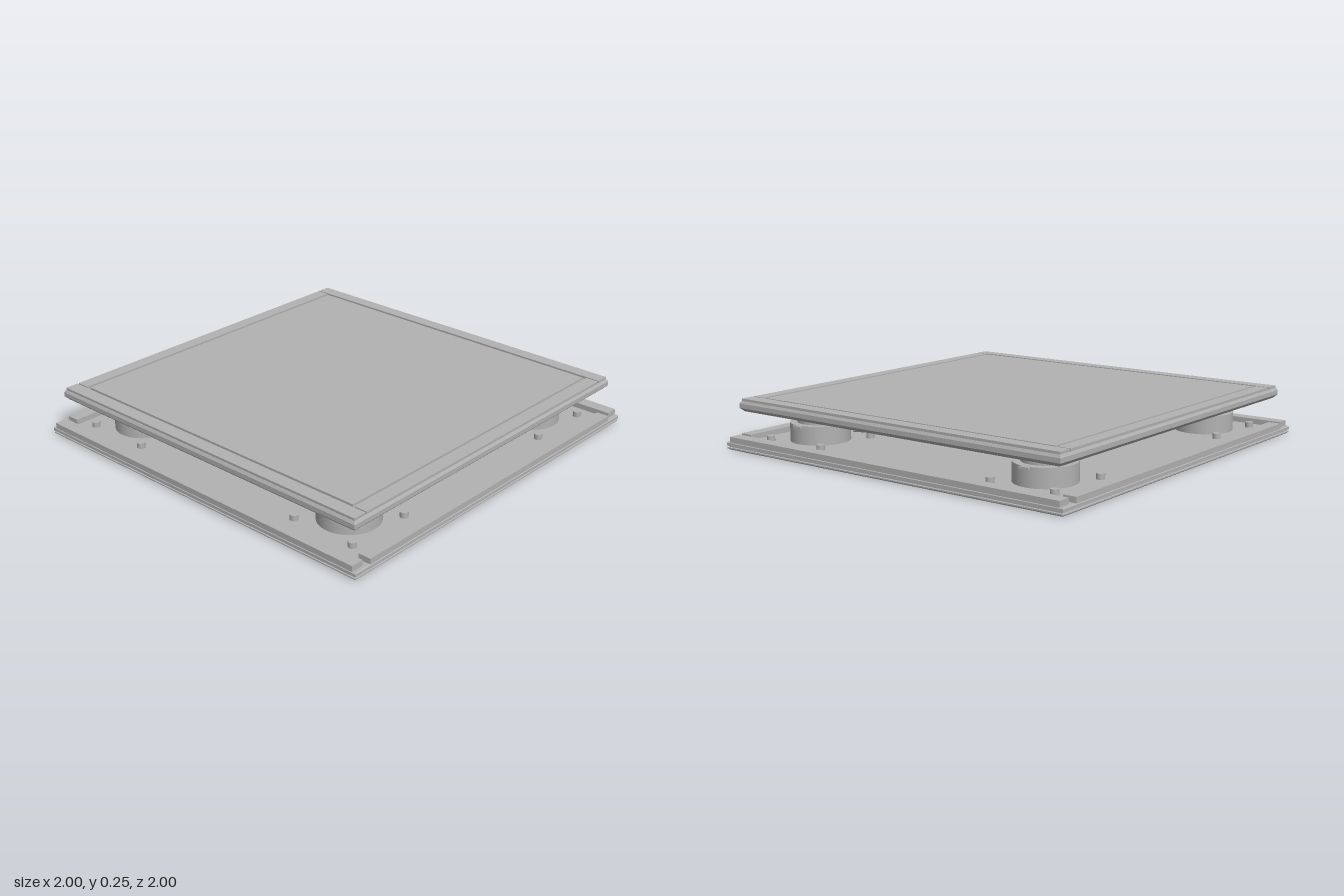
import * as THREE from 'three';

export function createModel() {
  const model = new THREE.Group();
  const grey = new THREE.MeshStandardMaterial({ color: 0xb2b2b2 });
  grey.name = 'plain grey';

  const add = (name, geometry, x = 0, y = 0, z = 0, parent = model) => {
    const mesh = new THREE.Mesh(geometry, grey);
    mesh.name = name;
    mesh.position.set(x, y, z);
    parent.add(mesh);
    return mesh;
  };
  // Box given by its size, centre and bottom and top heights
  const box = (name, w, d, x, z, y0, y1, parent) =>
    add(name, new THREE.BoxGeometry(w, y1 - y0, d), x, (y0 + y1) / 2, z, parent);
  const disc = (name, r, x, z, y0, y1, parent, sides = 40) =>
    add(name, new THREE.CylinderGeometry(r, r, y1 - y0, sides), x, (y0 + y1) / 2, z, parent);
  // Square slab with a profile of [half width, height], bottom to top
  const slab = (name, profile) => {
    const points = [[0, profile[0][1]], ...profile, [0, profile.at(-1)[1]]]
      .map(([half, y]) => new THREE.Vector2(half * Math.SQRT2, y));
    const geometry = new THREE.LatheGeometry(points, 4, Math.PI / 4).toNonIndexed();
    geometry.computeVertexNormals();
    return add(name, geometry);
  };

  // Base tray with an edge groove
  slab('baseSlab', [[0.99, 0], [0.998, 0.006], [0.998, 0.012], [0.992, 0.014], [0.992, 0.018],
    [1, 0.02], [1, 0.034], [0.996, 0.038]]);
  // Weighing plate with bevelled edge
  slab('plateSlab', [[0.935, 0.187], [0.952, 0.204], [0.952, 0.226], [0.945, 0.238]]);
  // Raised centre panel, set apart from the frame by a narrow groove
  box('platePanel', 1.72, 1.72, 0, 0, 0.237, 0.249);

  for (const s of [-1, 1]) {
    // Base rails, with open notches at the corners
    box('baseSideRail', 0.065, 1.96, s * 0.965, 0, 0.037, 0.065);
    box('baseEndRail', 1.81, 0.065, 0, s * 0.965, 0.037, 0.065);
    // Plate frame strips
    box('plateSideStrip', 0.067, 1.885, s * 0.909, 0, 0.237, 0.25);
    box('plateEndStrip', 1.735, 0.067, 0, s * 0.909, 0.237, 0.25);
  }

  // Four load cells with their bolts and cables
  for (const sx of [-1, 1]) {
    for (const sz of [-1, 1]) {
      const cell = new THREE.Group();
      cell.name = 'loadCell';
      cell.position.set(sx * 0.68, 0, sz * 0.68);
      model.add(cell);
      disc('cellBody', 0.147, 0, 0, 0.037, 0.13, cell);
      disc('cellCollar', 0.11, 0, 0, 0.13, 0.175, cell);
      disc('cellHead', 0.07, 0, 0, 0.175, 0.188, cell);
      box('cellTab', 0.32, 0.05, 0, 0, 0.118, 0.129, cell);
      for (const bx of [-1, 1])
        for (const bz of [-1, 1])
          disc('bolt', 0.02, bx * 0.17, bz * 0.17, 0.037, 0.065, cell, 12);

      const path = new THREE.CatmullRomCurve3([
        [0.57, 0.08], [0.45, 0.064], [0.32, 0.064], [0.17, 0.08],
      ].map(([r, y]) => new THREE.Vector3(sx * r, y, sz * r)));
      add('cable', new THREE.TubeGeometry(path, 20, 0.009, 8));
    }
  }

  // Central housing: chamfered block over a slightly wider foot, with a round cap
  slab('housing', [[0.22, 0.037], [0.22, 0.08], [0.213, 0.085], [0.213, 0.148], [0.195, 0.163]]);
  disc('housingCap', 0.095, 0, 0, 0.163, 0.175);
  return model;
}
